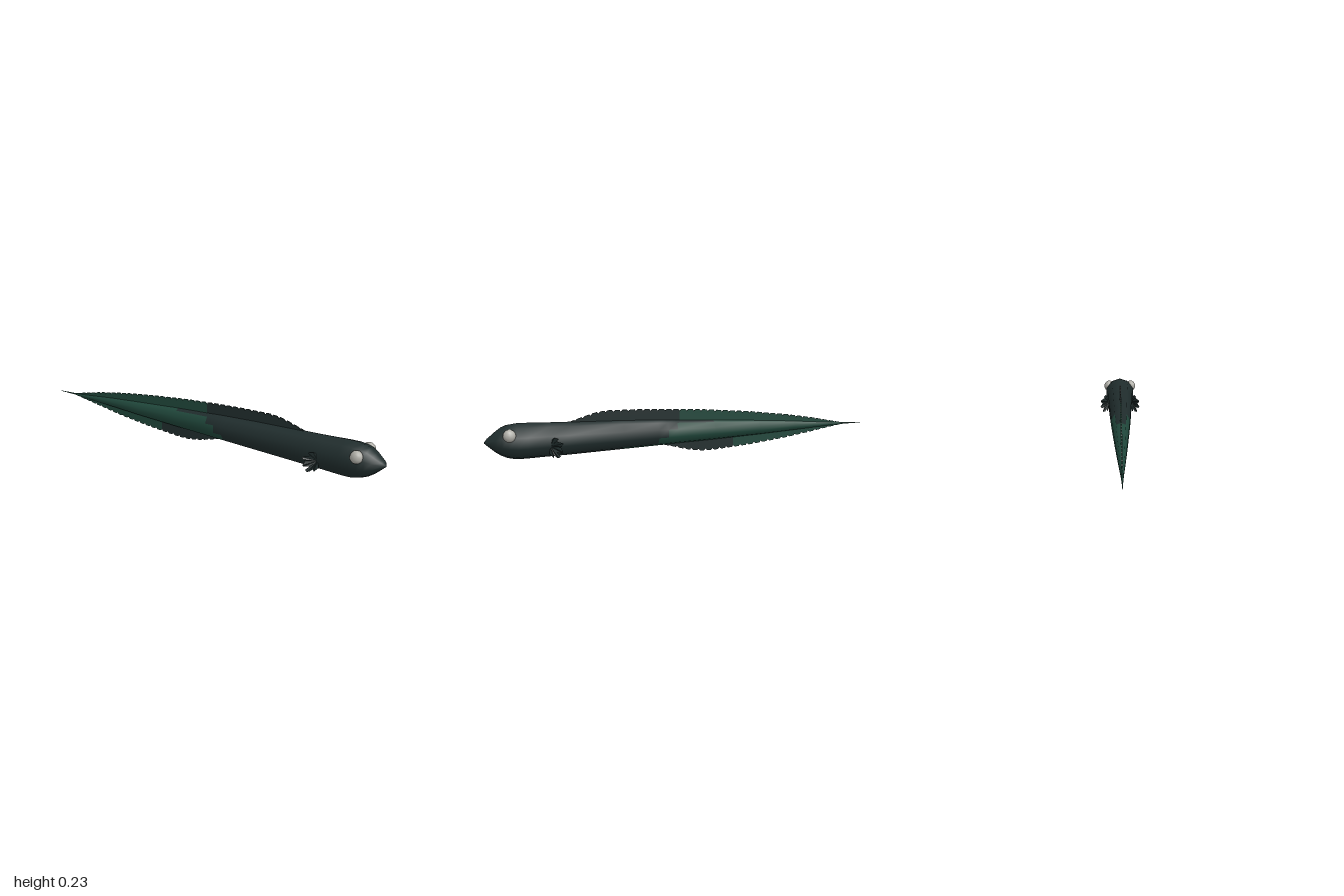
import * as THREE from 'three';

const paint = (name, color, side = THREE.FrontSide) => {
  const m = new THREE.MeshStandardMaterial({ color, side });
  m.name = name;
  return m;
};

// Linear lookup of column c in rows sorted by falling z.
function sample(rows, z, c) {
  for (let i = 1; i < rows.length; i++) {
    const a = rows[i - 1], b = rows[i];
    if (z >= b[0]) return THREE.MathUtils.lerp(b[c], a[c], (z - b[0]) / (a[0] - b[0]));
  }
  return rows[rows.length - 1][c];
}

// Body sections: z, top, bottom, half width
const BODY = [
  [1, 0.104, 0.1, 0.003], [0.985, 0.122, 0.086, 0.033], [0.95, 0.152, 0.055, 0.059], [0.92, 0.174, 0.035, 0.072],
  [0.89, 0.184, 0.022, 0.08], [0.85, 0.19, 0.014, 0.085], [0.8, 0.19, 0.014, 0.084],
  [0.7, 0.187, 0.018, 0.075], [0.6, 0.185, 0.021, 0.071], [0.33, 0.18, 0.033, 0.062],
  [0.15, 0.174, 0.041, 0.055], [0.1, 0.172, 0.043, 0.053], [0.05, 0.169, 0.046, 0.051],
  [-0.15, 0.16, 0.055, 0.042], [-0.4, 0.145, 0.068, 0.03], [-0.6, 0.132, 0.081, 0.02],
  [-0.8, 0.115, 0.095, 0.009], [-0.9, 0.108, 0.1, 0.004], [-1, 0.105, 0.102, 0.001],
];
const SIDES = 10;
// Where the dark front gives way to green, for each band from back to belly
const COLOR_BREAK = [-0.15, 0.05, 0.1, 0.15, 0.33];

function bodyGeometry() {
  const pos = [], dark = [], green = [];
  for (const [z, top, bottom, half] of BODY) {
    for (let s = 0; s < SIDES; s++) {
      const a = (s / SIDES) * Math.PI * 2;
      pos.push(half * Math.sin(a), (top + bottom) / 2 + ((top - bottom) / 2) * Math.cos(a), z);
    }
  }
  for (let r = 0; r < BODY.length - 1; r++) {
    for (let s = 0; s < SIDES; s++) {
      const n = (s + 1) % SIDES, a = r * SIDES + s, b = r * SIDES + n;
      const band = Math.min(s, SIDES - 1 - s);
      const list = BODY[r][0] > COLOR_BREAK[band] + 0.001 ? dark : green;
      list.push(a, b, a + SIDES, b, b + SIDES, a + SIDES);
    }
  }
  // Close both tips
  const last = (BODY.length - 1) * SIDES;
  for (let s = 1; s < SIDES - 1; s++) {
    dark.push(0, s + 1, s);
    green.push(last, last + s, last + s + 1);
  }
  const g = new THREE.BufferGeometry();
  g.setAttribute('position', new THREE.Float32BufferAttribute(pos, 3));
  g.setIndex([...dark, ...green]);
  g.addGroup(0, dark.length, 0);
  g.addGroup(dark.length, green.length, 1);
  g.computeVertexNormals();
  return g;
}

// Fin edges: z, y
const DORSAL = [[0.6, 0.18], [0.53, 0.204], [0.46, 0.225], [0.4, 0.232], [0.25, 0.231], [0.1, 0.226],
  [-0.1, 0.215], [-0.35, 0.194], [-0.55, 0.17], [-0.7, 0.146], [-0.88, 0.11]];
const VENTRAL = [[0.12, 0.045], [0.05, 0.028], [0, 0.014], [-0.08, 0.001], [-0.15, 0.001], [-0.35, 0.018],
  [-0.55, 0.043], [-0.7, 0.068], [-0.88, 0.1]];

// Thin median fin with a saw-toothed rim between two z positions
function finGeometry(edge, zFront, zBack, dir) {
  const shape = new THREE.Shape();
  const base = (z) => sample(BODY, z, dir > 0 ? 1 : 2) - dir * 0.004;
  const rim = (z, notch) => {
    const b = base(z), y = sample(edge, z, 1);
    return y - dir * Math.min(notch, Math.max(0, dir * (y - b)) * 0.3);
  };
  const teeth = Math.round((zFront - zBack) / 0.038);
  const step = (zFront - zBack) / teeth;
  shape.moveTo(zFront, base(zFront));
  for (let i = 0; i < teeth; i++) {
    const z = zFront - i * step;
    shape.lineTo(z, rim(z, 0.009));
    shape.lineTo(z - step * 0.3, rim(z - step * 0.3, 0));
    shape.lineTo(z - step * 0.85, rim(z - step * 0.85, 0));
  }
  shape.lineTo(zBack, rim(zBack, 0.009));
  for (let i = 0; i < 10; i++) {
    const z = THREE.MathUtils.lerp(zBack, zFront, i / 10);
    shape.lineTo(z, base(z));
  }
  const g = new THREE.ExtrudeGeometry(shape, { depth: 0.007, bevelEnabled: false });
  return g.translate(0, 0, -0.0035).rotateY(-Math.PI / 2);
}

// Ragged rim of the side fin as x, y
const FAN = [[0.07, 0.115], [0.084, 0.124], [0.095, 0.12], [0.092, 0.108], [0.113, 0.1], [0.113, 0.09],
  [0.102, 0.08], [0.115, 0.061], [0.107, 0.053], [0.093, 0.054], [0.101, 0.036], [0.1, 0.027],
  [0.086, 0.028], [0.081, 0.04], [0.075, 0.024], [0.064, 0.045]];

// Pleated fan spreading from a hub on the flank
function sideFinGeometry(side) {
  const place = ([x, y], fold) => [side * x, y, 0.69 - (x - 0.07) * 1.15 + fold];
  const rim = FAN.map((p, i) => place(p, i % 2 ? 0.004 : -0.004));
  const hub = place([0.066, 0.08], 0);
  const pos = [];
  for (let i = 1; i < rim.length; i++) pos.push(...hub, ...rim[i - 1], ...rim[i]);
  const g = new THREE.BufferGeometry();
  g.setAttribute('position', new THREE.Float32BufferAttribute(pos, 3));
  g.computeVertexNormals();
  return g;
}

export function createModel() {
  const group = new THREE.Group();
  const darkSkin = paint('darkSkin', 0x202d2d, THREE.DoubleSide);
  const greenSkin = paint('greenSkin', 0x20473b);
  const eyeGrey = paint('eyeGrey', 0xb0afa8);
  const add = (name, geometry, material) => {
    const mesh = new THREE.Mesh(geometry, material);
    mesh.name = name;
    group.add(mesh);
    return mesh;
  };

  add('body', bodyGeometry(), [darkSkin, greenSkin]);

  // Fins along the back and belly
  add('dorsalFinFront', finGeometry(DORSAL, 0.6, 0.03, 1), darkSkin);
  add('dorsalFinRear', finGeometry(DORSAL, 0.03, -0.88, 1), greenSkin);
  add('ventralFinFront', finGeometry(VENTRAL, 0.12, -0.26, -1), darkSkin);
  add('ventralFinRear', finGeometry(VENTRAL, -0.26, -0.88, -1), greenSkin);

  // Paired eyes and side fins
  for (const [label, side] of [['left', 1], ['right', -1]]) {
    const eye = add(label + 'Eye', new THREE.SphereGeometry(1, 12, 8), eyeGrey);
    eye.scale.set(0.025, 0.031, 0.031);
    eye.position.set(side * 0.069, 0.142, 0.885);
    eye.rotation.z = side * 0.3;
    add(label + 'SideFin', sideFinGeometry(side), darkSkin);
  }
  return group;
}
